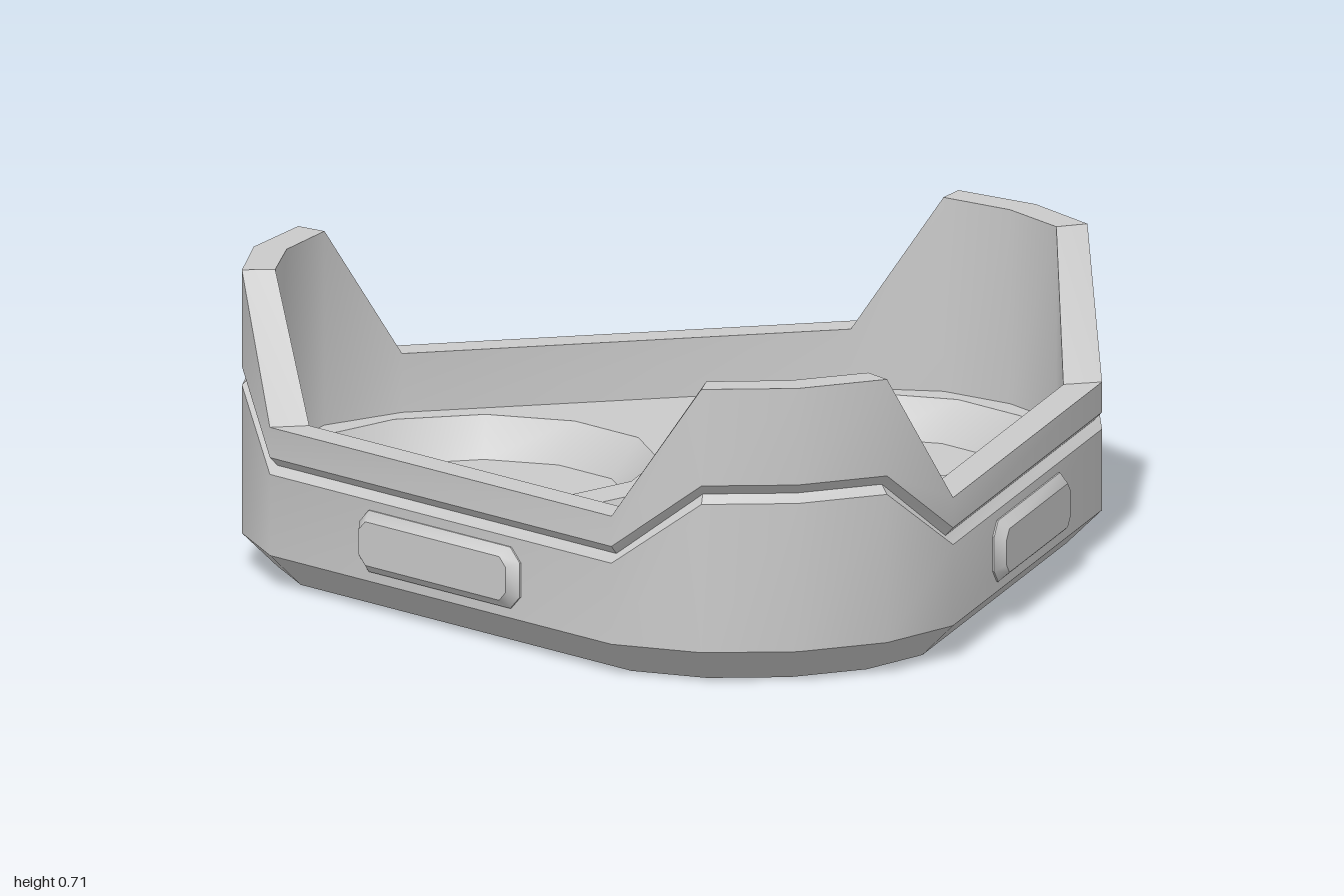
import * as THREE from 'three';
import { toCreasedNormals } from 'three/addons/utils/BufferGeometryUtils.js';

const CENTRE_Z = 0.12, SIDE = 0.803, THIRD = Math.PI * 2 / 3;
const FLOOR_Y = 0.245, POCKET_Y = 0.155;

// Turn a point [x, z] around the middle of the tray
function turn([x, z], a) {
  const r = z - CENTRE_Z, c = Math.cos(a), s = Math.sin(a);
  return [x * c + r * s, CENTRE_Z + r * c - x * s];
}

// Skin closed rings of Vector3, keeping hard edges sharp
function loft(rings) {
  const n = rings[0].length, pos = [], idx = [];
  rings.forEach(ring => ring.forEach(p => pos.push(p.x, p.y, p.z)));
  for (let i = 0; i < rings.length - 1; i++) {
    for (let j = 0; j < n; j++) {
      const k = (j + 1) % n, a = i * n + j, b = i * n + k;
      idx.push(a, b, b + n, a, b + n, a + n);
    }
  }
  const g = new THREE.BufferGeometry();
  g.setAttribute('position', new THREE.Float32BufferAttribute(pos, 3));
  g.setIndex(idx);
  return toCreasedNormals(g, 0.62);
}

// Move a closed outline inwards by d
function inset(points, d) {
  const n = points.length;
  const normal = (a, b) => new THREE.Vector2(a[1] - b[1], b[0] - a[0]).normalize();
  return points.map((p, i) => {
    const n1 = normal(points[(i + n - 1) % n], p), n2 = normal(p, points[(i + 1) % n]);
    const k = d / (1 + n1.dot(n2));
    return [p[0] - (n1.x + n2.x) * k, p[1] - (n1.y + n2.y) * k];
  });
}

// Rounded triangle: half a corner, mirrored, then repeated three times
function roundedTriangle(end, shoulder, tip) {
  const corner = [end, shoulder, tip, [-shoulder[0], shoulder[1]], [-end[0], end[1]]];
  return [0, 1, 2].flatMap(i => corner.map(p => turn(p, i * THIRD)));
}

// Give an outline its height: straight sides low, corners high
const ring = (outline, low, high = low) => outline.map(([x, z], i) =>
  new THREE.Vector3(x, i % 5 === 0 || i % 5 === 4 ? low : high, z));

const polygon = (r, y, x, z) => Array.from({ length: 12 }, (_, i) => {
  const a = (i + 0.5) * Math.PI / 6;
  return new THREE.Vector3(x + r * Math.sin(a), y, z + r * Math.cos(a));
});

// Octagonal badge ring facing +z
function badgeRing(w, h, cut, z) {
  return [[-w + cut, -h], [w - cut, -h], [w, -h + cut], [w, h - cut],
    [w - cut, h], [-w + cut, h], [-w, h - cut], [-w, -h + cut]]
    .map(([x, y]) => new THREE.Vector3(x, y, z));
}

export function createModel() {
  const group = new THREE.Group();
  const grey = new THREE.MeshStandardMaterial({ color: 0xcacaca });
  grey.name = 'grey';
  const add = (name, geometry, parent = group) => {
    const mesh = new THREE.Mesh(geometry, grey);
    mesh.name = name;
    parent.add(mesh);
    return mesh;
  };

  const outer = roundedTriangle([0.405, -0.785], [0.22, -0.91], [0, -0.95]);
  const inner = roundedTriangle([0.362, -0.703], [0.192, -0.838], [0, -0.87]);
  const foot = inset(outer, 0.08), groove = inset(outer, 0.02);

  // Lower shell, groove and raised rim
  add('lowerShell', loft([ring(foot, 0), ring(outer, 0.08), ring(outer, 0.273, 0.433),
    ring(groove, 0.292, 0.453)]));
  add('rim', loft([ring(groove, 0.292, 0.453), ring(outer, 0.313, 0.477), ring(outer, 0.385, 0.707),
    ring(inner, 0.385, 0.707), ring(inner, FLOOR_Y)]));

  // Underside
  const base = new THREE.Shape(foot.map(([x, z]) => new THREE.Vector2(x, z)));
  add('underside', new THREE.ShapeGeometry(base).rotateX(Math.PI / 2));

  // Floor with three tapered pockets
  const floor = new THREE.Shape(inner.map(([x, z]) => new THREE.Vector2(x, -z)));
  const flat = points => points.map(p => new THREE.Vector2(p.x, -p.z));
  for (let i = 0; i < 3; i++) {
    const [x, z] = turn([-0.003, -0.405], i * THIRD);
    const top = polygon(0.418, FLOOR_Y, x, z), bottom = polygon(0.348, POCKET_Y, x, z);
    floor.holes.push(new THREE.Path(flat(top)));
    add('pocketWall', loft([top, bottom]));
    const disc = new THREE.ShapeGeometry(new THREE.Shape(flat(bottom))).rotateX(-Math.PI / 2);
    add('pocketBottom', disc).position.y = POCKET_Y;
  }
  add('floor', new THREE.ShapeGeometry(floor).rotateX(-Math.PI / 2)).position.y = FLOOR_Y;

  // Bevelled badge on each side
  for (let i = 0; i < 3; i++) {
    const badge = new THREE.Group();
    badge.name = 'sideBadge';
    badge.position.set(0, 0.177, CENTRE_Z);
    badge.rotation.y = i * THIRD;
    group.add(badge);
    const face = badgeRing(0.25, 0.052, 0.022, SIDE + 0.027);
    add('badgeEdge', loft([badgeRing(0.273, 0.073, 0.032, SIDE - 0.01),
      badgeRing(0.273, 0.073, 0.032, SIDE + 0.004), face]), badge);
    const plate = new THREE.ShapeGeometry(new THREE.Shape(face.map(p => new THREE.Vector2(p.x, p.y))));
    add('badgeFace', plate, badge).position.z = SIDE + 0.027;
  }
  return group;
}
